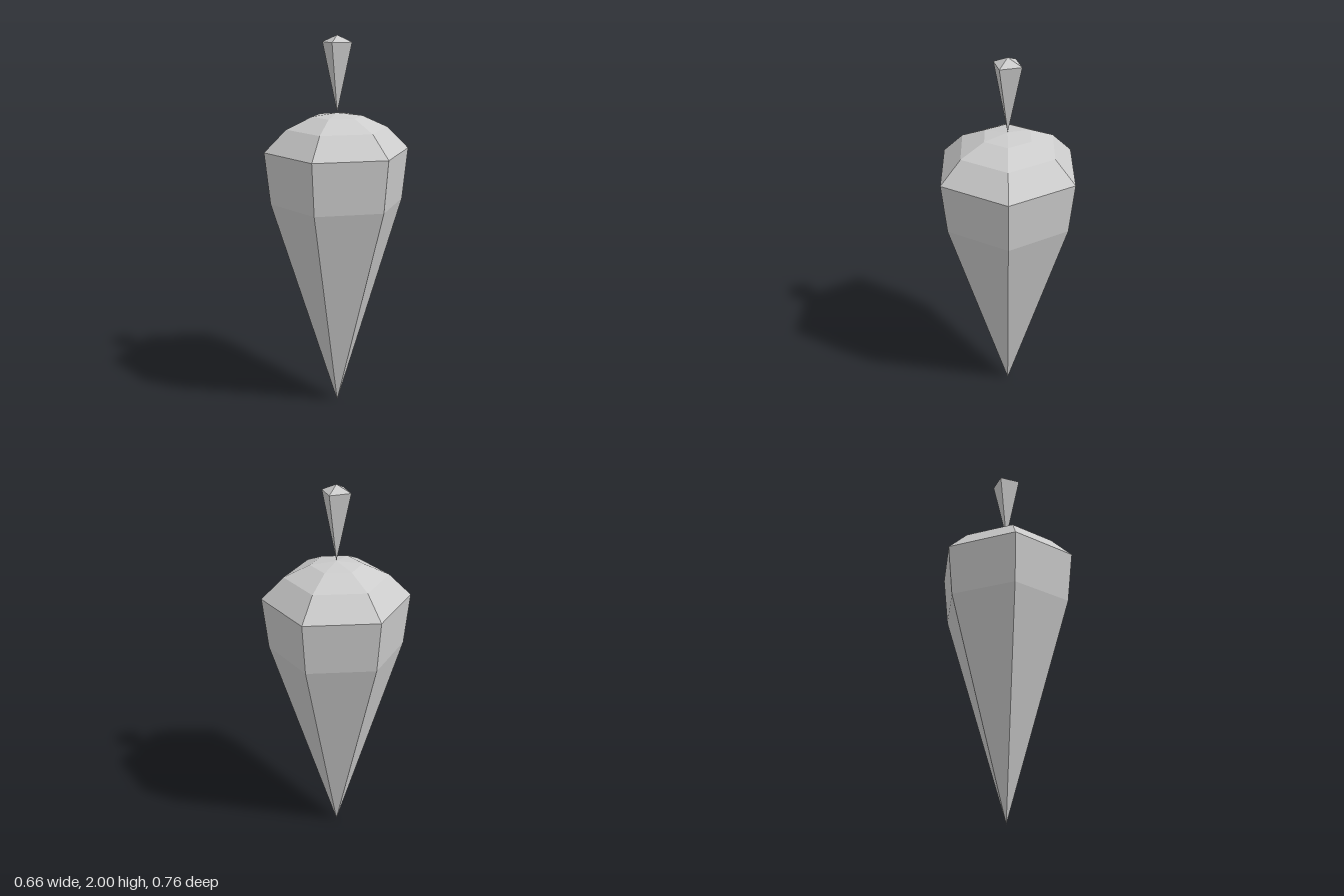
import * as THREE from 'three';

// Faceted solid of revolution from [radius, height] pairs, listed bottom to top
function facetedLathe(name, profile, sides, material) {
  const points = profile.map(([r, y]) => new THREE.Vector2(r, y));
  const geometry = new THREE.LatheGeometry(points, sides).toNonIndexed();
  geometry.computeVertexNormals();
  const mesh = new THREE.Mesh(geometry, material);
  mesh.name = name;
  return mesh;
}

export function createModel() {
  const model = new THREE.Group();
  model.name = 'taperedRoot';

  const grey = new THREE.MeshStandardMaterial({ color: 0xcccccc, flatShading: true });
  grey.name = 'light grey';

  // Six-sided body: pointed tip, broad shoulder, shallow domed crown
  const body = [[0, 0], [0.352, 1.143], [0.381, 1.415], [0.266, 1.53], [0.133, 1.592], [0, 1.61]];
  model.add(facetedLathe('body', body, 6, grey));

  // Four-sided stem widening upward from a point, with a low pyramid cap
  const stem = [[0, 1.61], [0.079, 1.965], [0, 2]];
  model.add(facetedLathe('stem', stem, 4, grey));

  return model;
}
